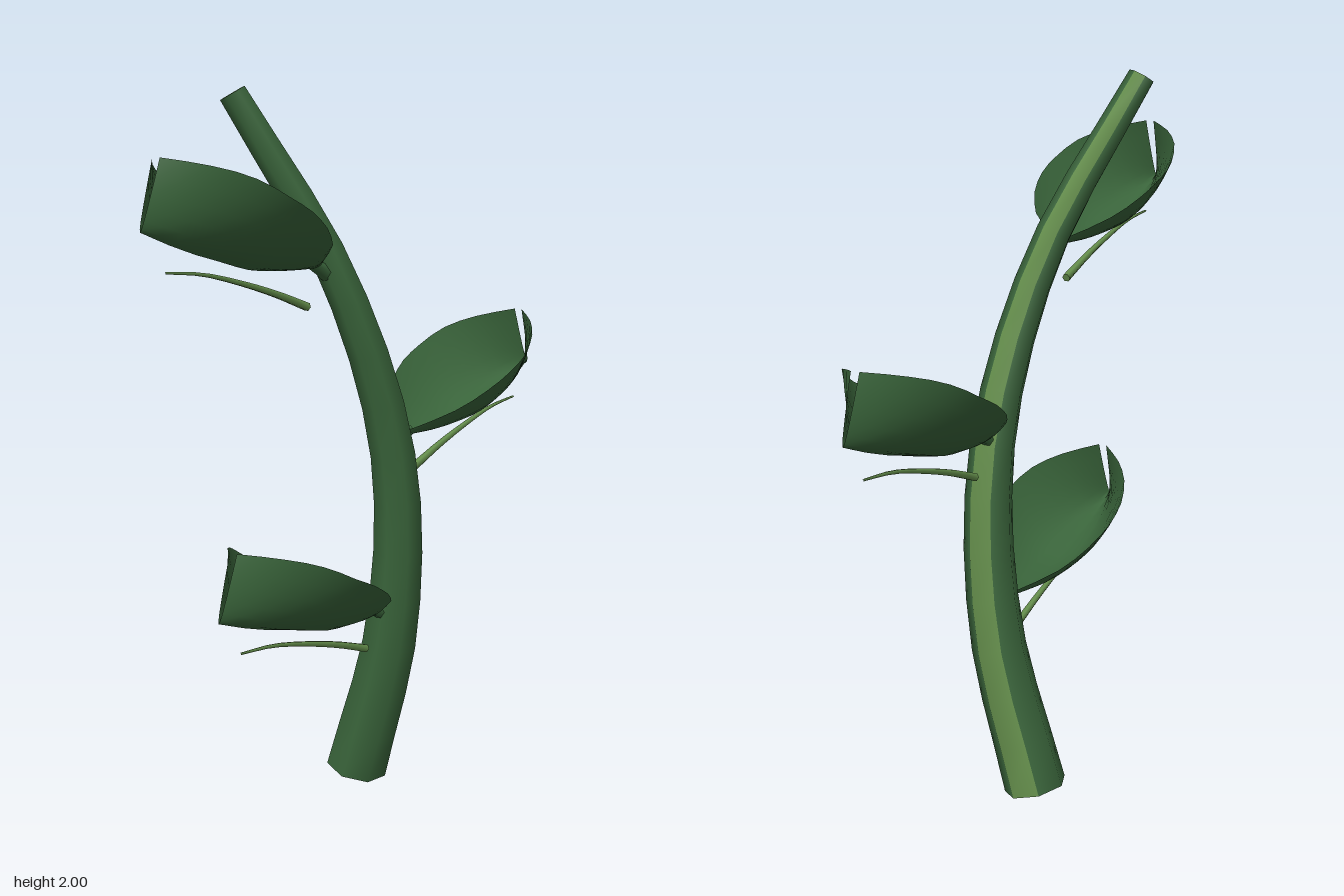
import * as THREE from 'three';

const darkGreen = new THREE.MeshStandardMaterial({ color: 0x3a653b, side: THREE.DoubleSide });
darkGreen.name = 'dark green';
const lightGreen = new THREE.MeshStandardMaterial({ color: 0x658f4c });
lightGreen.name = 'light green';

const curve = (pts) => new THREE.CatmullRomCurve3(pts.map((p) => new THREE.Vector3(...p)));

function surface(positions, index) {
  const g = new THREE.BufferGeometry();
  g.setAttribute('position', new THREE.Float32BufferAttribute(positions, 3));
  g.setIndex(index);
  g.computeVertexNormals();
  return g;
}

function add(parent, name, geometry, material) {
  const mesh = new THREE.Mesh(geometry, material);
  mesh.name = name;
  parent.add(mesh);
  return mesh;
}

// One ring of points square to the path; ref sets where the ring starts.
function ring(path, t, r, sides, ref) {
  const c = path.getPoint(t);
  const tan = path.getTangent(t);
  const u = ref.clone().addScaledVector(tan, -ref.dot(tan)).normalize();
  const v = new THREE.Vector3().crossVectors(tan, u);
  return Array.from({ length: sides }, (_, k) => {
    const a = (k / sides) * Math.PI * 2;
    return c.clone().addScaledVector(u, Math.cos(a) * r).addScaledVector(v, Math.sin(a) * r);
  });
}

// Tapered tube; the first side is group 1, the others group 0.
function taperedTube(path, radius, steps, sides, ref) {
  const pos = [];
  const rest = [];
  const strip = [];
  for (let i = 0; i <= steps; i++) {
    ring(path, i / steps, radius(i / steps), sides, ref).forEach((p) => pos.push(p.x, p.y, p.z));
    if (i === steps) break;
    for (let k = 0; k < sides; k++) {
      const a = i * sides + k;
      const b = i * sides + ((k + 1) % sides);
      (k === 0 ? strip : rest).push(a, b, b + sides, a, b + sides, a + sides);
    }
  }
  const g = surface(pos, [...rest, ...strip]);
  g.addGroup(0, rest.length, 0);
  g.addGroup(rest.length, strip.length, 1);
  return g;
}

// Flat end of a tube
function endCap(path, t, r, sides, ref) {
  const pts = ring(path, t, r, sides, ref);
  const index = [];
  for (let k = 1; k < sides - 1; k++) index.push(...(t > 0 ? [0, k, k + 1] : [0, k + 1, k]));
  return surface(pts.flatMap((p) => [p.x, p.y, p.z]), index);
}

// Boat-shaped blade: half width, rim height and midrib height from base to tip
function bladeGeometry() {
  const profile = curve([
    [0.012, 0.015, 0], [0.115, 0.07, 0], [0.165, 0.12, 0.005], [0.187, 0.165, 0.015],
    [0.185, 0.205, 0.04], [0.155, 0.25, 0.065], [0.095, 0.28, 0.095], [0.012, 0.3, 0.13],
  ]);
  const rows = 14;
  const cols = 12;
  const pos = [];
  const index = [];
  for (let i = 0; i <= rows; i++) {
    const t = i / rows;
    const p = profile.getPoint(t);
    for (let j = 0; j <= cols; j++) {
      const v = (j / cols) * 2 - 1;
      const lift = Math.abs(v) ** 1.7;
      pos.push(
        t * (0.67 - 0.06 * lift),
        p.z + (p.y - p.z) * lift,
        p.x * Math.sign(v) * Math.abs(v) ** 0.8,
      );
      if (i < rows && j < cols) {
        const a = i * (cols + 1) + j;
        const b = a + cols + 1;
        index.push(a, a + 1, b + 1, a, b + 1, b);
      }
    }
  }
  return surface(pos, index);
}

export function createModel() {
  const model = new THREE.Group();
  model.name = 'leafySprig';
  const xAxis = new THREE.Vector3(1, 0, 0);
  const zAxis = new THREE.Vector3(0, 0, 1);

  // Curved stem with one pale side and pale cut ends
  const stemPath = curve([
    [0.07, 0.025, -0.13], [0.12, 0.5, -0.02], [0.09, 1, 0.02],
    [-0.075, 1.5, -0.005], [-0.32, 1.982, -0.135],
  ]);
  const stemRadius = (t) => 0.09 - 0.052 * t;
  add(model, 'stem', taperedTube(stemPath, stemRadius, 14, 7, xAxis), [darkGreen, lightGreen]);
  add(model, 'stemBottom', endCap(stemPath, 0, stemRadius(0), 7, xAxis), lightGreen);
  add(model, 'stemTop', endCap(stemPath, 1, stemRadius(1), 7, xAxis), lightGreen);

  // Leaves: blade, short stalk and a thin tendril below
  const blade = bladeGeometry();
  const stalkPath = curve([[-0.08, -0.045, 0], [-0.03, -0.015, 0], [0.03, 0.012, 0]]);
  const stalk = taperedTube(stalkPath, (t) => 0.027 - 0.012 * t, 3, 6, zAxis);
  const tendrilPath = curve([[0.05, -0.1, 0], [0.18, -0.055, 0], [0.32, -0.015, 0], [0.46, 0.017, 0], [0.59, 0.03, 0]]);
  const tendrilRadius = (t) => 0.012 - 0.009 * t;
  const tendril = taperedTube(tendrilPath, tendrilRadius, 10, 6, zAxis);
  const tendrilEnd = endCap(tendrilPath, 0, tendrilRadius(0), 6, zAxis);

  const leaves = [
    ['upperLeaf', -0.15, 1.53, 0.01, Math.PI],
    ['middleLeaf', 0.15, 1.04, -0.01, 0],
    ['lowerLeaf', 0.04, 0.55, 0.01, Math.PI],
  ];
  for (const [name, x, y, z, turn] of leaves) {
    const leaf = new THREE.Group();
    leaf.name = name;
    leaf.position.set(x, y, z);
    leaf.rotation.y = turn + 0.315;
    add(leaf, 'blade', blade, darkGreen);
    add(leaf, 'stalk', stalk, [darkGreen, darkGreen]);
    add(leaf, 'tendril', tendril, [lightGreen, lightGreen]);
    add(leaf, 'tendrilEnd', tendrilEnd, lightGreen);
    model.add(leaf);
  }
  return model;
}
